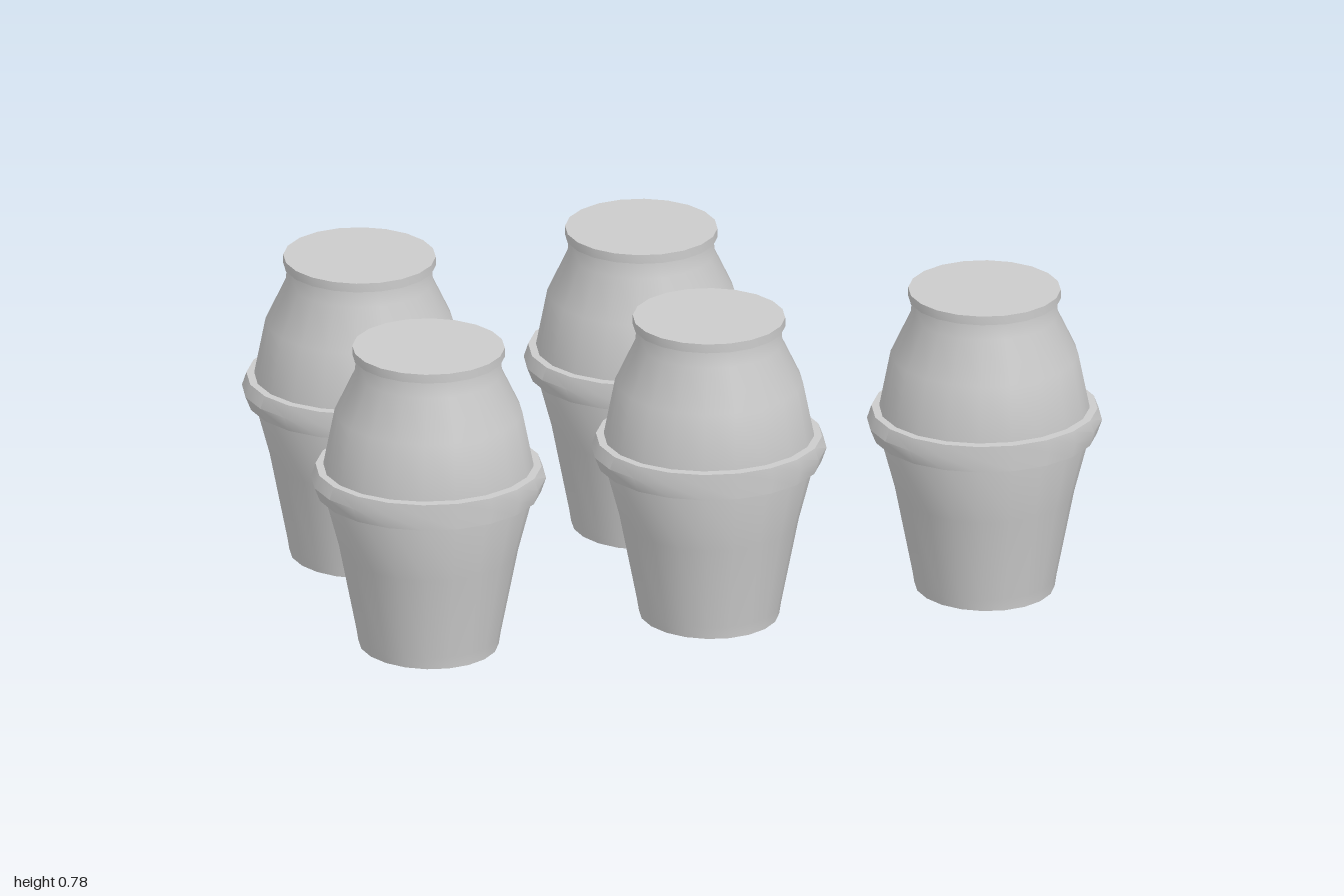
import * as THREE from 'three';
import { toCreasedNormals } from 'three/addons/utils/BufferGeometryUtils.js';

const SIDES = 20;
const material = new THREE.MeshStandardMaterial({ color: 0xcccccc });

// Oval lathe: each row is [x radius, z radius, height], from bottom to top
function ovalLathe(rows) {
  const geometry = new THREE.LatheGeometry(rows.map(([, , y]) => new THREE.Vector2(1, y)), SIDES);
  const pos = geometry.attributes.position;
  for (let i = 0; i < pos.count; i++) {
    const [rx, rz] = rows[i % rows.length];
    pos.setX(i, pos.getX(i) * rx);
    pos.setZ(i, pos.getZ(i) * rz);
  }
  return toCreasedNormals(geometry, 0.6);
}

// Jar body: tapered foot, wide belly, rounded shoulder and short neck
const bodyGeometry = ovalLathe([
  [0, 0, 0], [0.171, 0.185, 0], [0.176, 0.187, 0.03], [0.219, 0.232, 0.25],
  [0.261, 0.248, 0.40], [0.259, 0.248, 0.47], [0.23, 0.235, 0.61],
  [0.18, 0.188, 0.715], [0.177, 0.184, 0.755], [0, 0, 0.755],
]);

// Band around the belly, pointed at the sides and flat at front and back
const bandGeometry = ovalLathe([
  [0.25, 0.24, 0.40], [0.276, 0.273, 0.40], [0.29, 0.273, 0.435],
  [0.278, 0.273, 0.467], [0.25, 0.24, 0.467],
]);

// Flat disc closing the mouth
const lidGeometry = ovalLathe([
  [0, 0, 0.755], [0.187, 0.19, 0.755], [0.187, 0.19, 0.778], [0, 0, 0.778],
]);

function createJar() {
  const jar = new THREE.Group();
  jar.name = 'jar';
  const parts = { body: bodyGeometry, band: bandGeometry, lid: lidGeometry };
  for (const [name, geometry] of Object.entries(parts)) {
    const mesh = new THREE.Mesh(geometry, material);
    mesh.name = name;
    jar.add(mesh);
  }
  return jar;
}

export function createModel() {
  const group = new THREE.Group();
  group.name = 'jars';
  // Three jars in the front row, two behind
  const places = [[-0.71, 0.316], [0.007, 0.304], [0.708, 0.304], [-0.71, -0.318], [0.007, -0.318]];
  for (const [x, z] of places) {
    const jar = createJar();
    jar.position.set(x, 0, z);
    group.add(jar);
  }
  return group;
}
